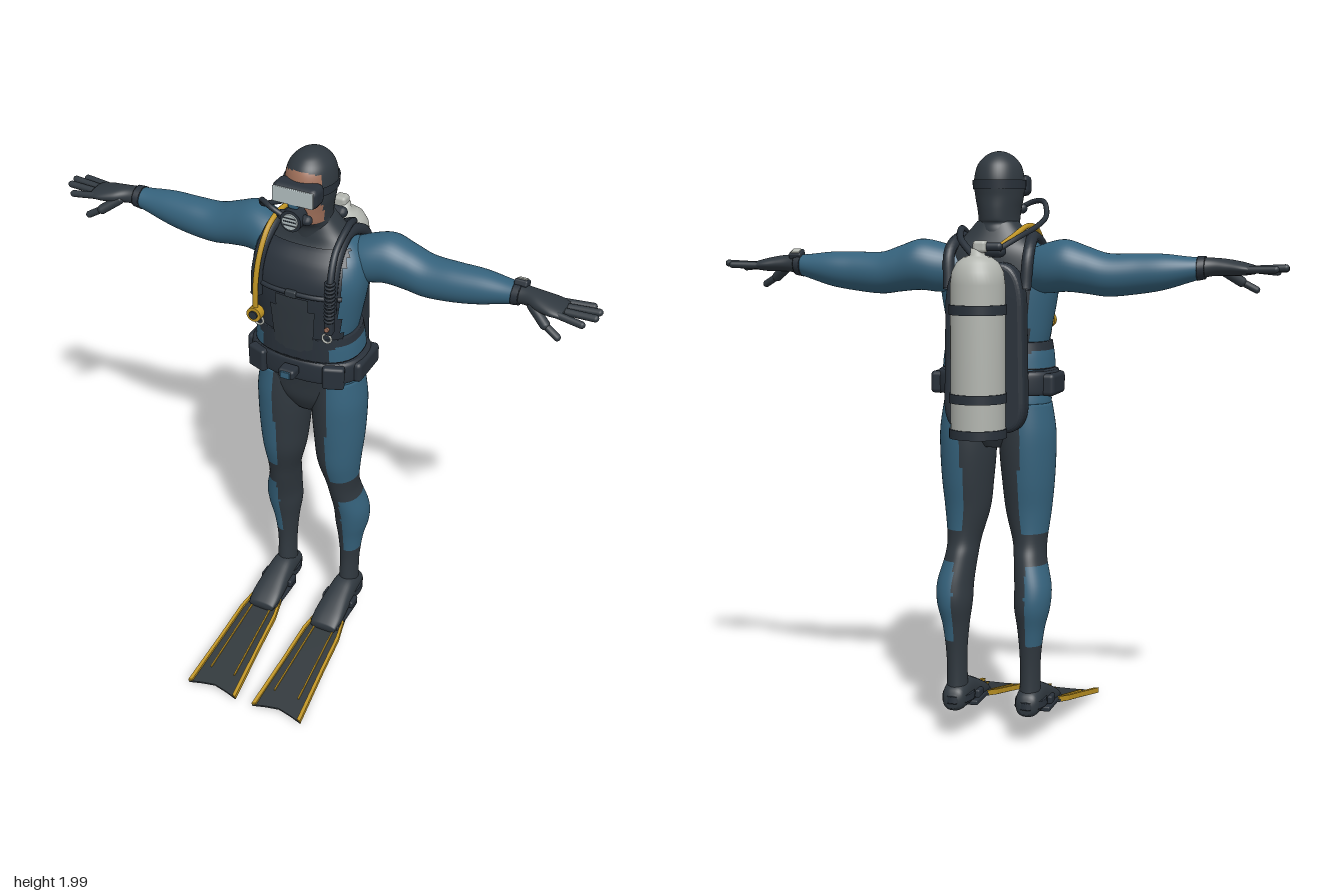
import * as THREE from 'three';
import { RoundedBoxGeometry } from 'three/addons/geometries/RoundedBoxGeometry.js';

const mat = (name, color) => {
  const m = new THREE.MeshStandardMaterial({ color, side: THREE.DoubleSide });
  m.name = name;
  return m;
};
const V = (x, y, z) => new THREE.Vector3(x, y, z);

// Smooth body from elliptical rings [along, c1, c2, r1, r2]; rule picks a material per quad (-1 leaves a hole)
function loft(rings, axis, { rule = () => 0, seg = 40, sub = 6, pow = 1, cap = true } = {}) {
  const rows = [], n = rings.length - 1;
  for (let i = 0; i <= n * sub; i++) {
    const k = Math.min(Math.floor(i / sub), n - 1), t = i / sub - k;
    const [a, b, c, d] = [Math.max(k - 1, 0), k, k + 1, Math.min(k + 2, n)].map(q => rings[q]);
    rows.push(b.map((_, q) => 0.5 * (2 * b[q] + (c[q] - a[q]) * t + (2 * a[q] - 5 * b[q] + 4 * c[q] - d[q]) * t * t
      + (3 * b[q] - a[q] - 3 * c[q] + d[q]) * t * t * t)));
  }
  const place = (l, u, v) => axis === 'x' ? [l, u, v] : axis === 'y' ? [u, l, v] : [u, v, l];
  const bend = v => Math.sign(v) * Math.abs(v) ** pow;
  const pos = [], lists = [];
  for (const r of rows) for (let j = 0; j < seg; j++) {
    const a = j / seg * Math.PI * 2;
    pos.push(...place(r[0], r[1] + r[3] * bend(Math.cos(a)), r[2] + r[4] * bend(Math.sin(a))));
  }
  const flip = (axis === 'y') !== (rings[n][0] < rings[0][0]);
  const tri = (m, a, b, c) => (lists[m] ??= []).push(a, ...(flip ? [c, b] : [b, c]));
  const mid = (...ids) => [0, 1, 2].map(q => ids.reduce((s, i) => s + pos[i * 3 + q], 0) / ids.length);
  const last = rows.length - 1;
  for (let i = 0; i < last; i++) for (let j = 0; j < seg; j++) {
    const a = i * seg + j, b = i * seg + (j + 1) % seg, c = b + seg, d = a + seg;
    const m = rule(...mid(a, b, c, d));
    if (m >= 0) { tri(m, a, b, c); tri(m, a, c, d); }
  }
  if (cap) for (const e of [0, last]) {
    const o = pos.length / 3, r = rows[e];
    pos.push(...place(r[0], r[1], r[2]));
    for (let j = 0; j < seg; j++) {
      const a = e * seg + j, b = e * seg + (j + 1) % seg, m = Math.max(0, rule(...mid(o, a, b)));
      e ? tri(m, o, a, b) : tri(m, o, b, a);
    }
  }
  const geo = new THREE.BufferGeometry(), index = [];
  lists.forEach((l, m) => { geo.addGroup(index.length, l.length, m); for (const i of l) index.push(i); });
  geo.setAttribute('position', new THREE.Float32BufferAttribute(pos, 3));
  geo.setIndex(index);
  geo.computeVertexNormals();
  return geo;
}

export function createModel() {
  const root = new THREE.Group();
  root.name = 'scubaDiver';
  const blue = mat('suitBlue', 0x35627c), dark = mat('suitDark', 0x30383f), gear = mat('gearBlack', 0x29313a);
  const tankGrey = mat('tankGrey', 0xb2b5af), yellow = mat('yellow', 0xbf9423), skin = mat('skin', 0xa0705a);
  const glass = mat('maskGlass', 0xb3bfc1), rubber = mat('finRubber', 0x30373b);

  const add = (geo, m, name, p = [0, 0, 0], r = [0, 0, 0], parent = root) => {
    const mesh = new THREE.Mesh(geo, m);
    mesh.name = name;
    mesh.position.set(...p);
    mesh.rotation.set(...r);
    parent.add(mesh);
    return mesh;
  };
  const box = (w, h, d, m, name, p, r, parent) =>
    add(new RoundedBoxGeometry(w, h, d, 2, Math.min(w, h, d) * 0.3), m, name, p, r, parent);
  const tube = (pts, r, m, name) =>
    add(new THREE.TubeGeometry(new THREE.CatmullRomCurve3(pts.map(p => V(...p))), 40, r, 10), m, name);
  const rod = (p, q, r, m, name) => {
    const a = V(...p), d = V(...q).sub(a), mesh = add(new THREE.CapsuleGeometry(r, d.length(), 5, 12), m, name);
    mesh.position.copy(a).addScaledVector(d, 0.5);
    mesh.quaternion.setFromUnitVectors(V(0, 1, 0), d.normalize());
  };

  // Torso
  const torso = [[1.02, 0, -0.12, 0.05, 0.07], [1.08, 0, -0.12, 0.13, 0.1], [1.15, 0, -0.12, 0.18, 0.112],
    [1.25, 0, -0.107, 0.172, 0.115], [1.33, 0, -0.1, 0.162, 0.115], [1.42, 0, -0.1, 0.178, 0.122],
    [1.55, 0, -0.1, 0.2, 0.127], [1.63, 0, -0.112, 0.192, 0.113], [1.68, 0, -0.128, 0.16, 0.09],
    [1.72, 0, -0.125, 0.112, 0.075], [1.77, 0, -0.12, 0.068, 0.06]];
  add(loft(torso, 'y', { pow: 0.85, seg: 56, rule: (x, y) =>
    y < 1.7 && Math.abs(x) > (y > 1.36 ? 0.125 : 0.1) ? 1 : 0 }), [dark, blue], 'torso');
  const shell = (off, name, m, rule) => add(loft(torso.map(r => [r[0], r[1], r[2], r[3] + off, r[4] + off]), 'y',
    { pow: 0.85, seg: 56, cap: false, rule }), m, name);
  shell(0.011, 'vestFront', [gear], (x, y, z) => z > -0.09 && Math.abs(x) < 0.155 && y > 1.34 && y < 1.69 ? 0 : -1);
  shell(0.018, 'vestPanel', [dark], (x, y, z) => z > -0.09 && Math.abs(x) < 0.07 && y > 1.28 && y < 1.54 ? 0 : -1);
  add(loft([[1.285, 0, -0.105, 0.19, 0.137], [1.33, 0, -0.103, 0.186, 0.135], [1.375, 0, -0.1, 0.178, 0.132]], 'y',
    { pow: 0.8, rule: (x, y) => Math.abs(x) > 0.13 && y > 1.29 && y < 1.345 ? 1 : 0 }), [gear, blue], 'cummerbund');
  add(loft([[1.2, 0, -0.11, 0.198, 0.138], [1.21, 0, -0.11, 0.206, 0.145], [1.265, 0, -0.11, 0.206, 0.145],
    [1.28, 0, -0.11, 0.195, 0.138]], 'y', { pow: 0.8 }), [gear], 'weightBelt');
  box(0.06, 0.035, 0.05, gear, 'beltBuckle', [0, 1.25, 0.065]);
  box(0.036, 0.026, 0.008, blue, 'buckleFace', [0, 1.25, 0.091]);
  tube([[-0.16, 1.54, 0.0], [-0.09, 1.545, 0.037], [0, 1.545, 0.044], [0.09, 1.545, 0.037], [0.16, 1.54, 0]], 0.008, gear, 'chestStrap');
  box(0.04, 0.025, 0.018, dark, 'chestBuckle', [0, 1.545, 0.047]);

  // Head with open-faced hood
  const head = [[1.64, 0, -0.12, 0.09, 0.075], [1.73, 0, -0.12, 0.077, 0.074], [1.762, 0, -0.108, 0.07, 0.08],
    [1.775, 0, -0.102, 0.067, 0.092], [1.81, 0, -0.101, 0.071, 0.096], [1.85, 0, -0.1, 0.079, 0.098],
    [1.9, 0, -0.102, 0.083, 0.101], [1.95, 0, -0.102, 0.073, 0.088], [1.98, 0, -0.102, 0.05, 0.062],
    [1.995, 0, -0.102, 0.025, 0.031], [2, 0, -0.102, 0.002, 0.002]];
  add(loft(head, 'y', { seg: 48, sub: 8, rule: (x, y, z) =>
    z > -0.066 && Math.abs(x) < 0.064 && y > 1.77 && y < 1.955 - x * x * 4 ? 1 : 0 }), [dark, skin], 'head');

  // Mask and mouthpiece
  box(0.158, 0.07, 0.075, gear, 'maskFrame', [0, 1.889, -0.004]);
  box(0.142, 0.054, 0.009, glass, 'maskLens', [0, 1.89, 0.033]);
  box(0.036, 0.03, 0.045, blue, 'nosePocket', [0, 1.862, 0.014]);
  add(loft([[1.875, 0, -0.101, 0.087, 0.105], [1.905, 0, -0.102, 0.088, 0.106]], 'y',
    { cap: false, rule: (x, y, z) => z < -0.03 ? 0 : -1 }), [gear], 'maskStrap');
  const disc = (r, h, m, name, p) => add(new THREE.CylinderGeometry(r, r, h, 24), m, name, p, [Math.PI / 2, 0, 0]);
  disc(0.037, 0.05, gear, 'regulator', [0, 1.812, 0.025]);
  disc(0.027, 0.009, glass, 'regulatorFace', [0, 1.812, 0.052]);
  for (const y of [-0.011, 0.002, 0.014]) box(0.044, 0.004, 0.005, gear, 'regulatorGrille', [0, 1.812 + y, 0.056]);
  rod([-0.045, 1.812, 0.02], [0.045, 1.812, 0.02], 0.017, gear, 'regulatorBody');

  for (const s of [1, -1]) {
    const side = s > 0 ? 'left' : 'right';
    // Arm and glove
    const arm = [[0.1, 1.61, -0.15, 0.06, 0.06], [0.18, 1.618, -0.165, 0.082, 0.082], [0.25, 1.627, -0.177, 0.085, 0.083],
      [0.32, 1.613, -0.178, 0.077, 0.076], [0.39, 1.598, -0.176, 0.07, 0.072], [0.48, 1.602, -0.172, 0.066, 0.066],
      [0.57, 1.609, -0.174, 0.058, 0.059], [0.66, 1.618, -0.172, 0.04, 0.044], [0.72, 1.626, -0.165, 0.03, 0.035],
      [0.77, 1.625, -0.154, 0.027, 0.047], [0.82, 1.621, -0.15, 0.022, 0.056], [0.86, 1.618, -0.15, 0.014, 0.052]];
    add(loft(arm.map(r => [r[0] * s, ...r.slice(1)]), 'x', { rule: x => Math.abs(x) > 0.685 ? 1 : 0 }), [blue, dark], side + 'Arm');
    add(loft([[0.68, 1.621, -0.17, 0.039, 0.043], [0.705, 1.624, -0.168, 0.037, 0.041]].map(r => [r[0] * s, ...r.slice(1)]), 'x'),
      [gear], side + 'GloveCuff');
    [[-0.192, 0.93, 1.621, -0.203], [-0.165, 0.958, 1.625, -0.172], [-0.137, 0.956, 1.622, -0.138],
      [-0.11, 0.925, 1.61, -0.102]].forEach(([z, x, y, tz]) => rod([0.84 * s, 1.619, z], [x * s, y, tz], 0.012, dark, side + 'Finger'));
    rod([0.755 * s, 1.615, -0.13], [0.81 * s, 1.578, -0.1], 0.017, dark, side + 'ThumbBase');
    rod([0.81 * s, 1.578, -0.1], [0.857 * s, 1.552, -0.088], 0.012, dark, side + 'Thumb');

    // Leg with dark inner side, knee and ankle
    const leg = [[1.17, 0.1, -0.12, 0.085, 0.105], [1.08, 0.105, -0.12, 0.094, 0.11], [1, 0.105, -0.12, 0.095, 0.108],
      [0.9, 0.107, -0.119, 0.088, 0.1], [0.8, 0.108, -0.118, 0.077, 0.088], [0.7, 0.116, -0.131, 0.058, 0.073],
      [0.64, 0.122, -0.147, 0.055, 0.075], [0.55, 0.137, -0.17, 0.062, 0.077], [0.48, 0.137, -0.18, 0.06, 0.073],
      [0.4, 0.133, -0.18, 0.045, 0.056], [0.3, 0.131, -0.18, 0.035, 0.044], [0.2, 0.13, -0.177, 0.035, 0.045],
      [0.12, 0.13, -0.177, 0.038, 0.052]];
    add(loft(leg.map(r => [r[0], r[1] * s, ...r.slice(2)]), 'y', { seg: 48, rule: (x, y) =>
      y > 0.725 ? (Math.abs(x) > 0.1 ? 1 : 0) : y > 0.355 && y < 0.62 && Math.abs(x) > 0.126 ? 1 : 0 }), [dark, blue], side + 'Leg');

    // Boot and fin straps
    const boot = [[-0.24, 0.13, 0.14, 0.02, 0.022], [-0.22, 0.13, 0.148, 0.04, 0.042], [-0.15, 0.13, 0.157, 0.046, 0.054],
      [-0.08, 0.13, 0.147, 0.051, 0.044], [0, 0.13, 0.128, 0.056, 0.027], [0.05, 0.13, 0.112, 0.05, 0.014]];
    add(loft(boot.map(r => [r[0], r[1] * s, ...r.slice(2)]), 'z', { pow: 0.8 }), [dark], side + 'Boot');
    add(loft([[0.135, 0.13 * s, -0.165, 0.054, 0.08], [0.16, 0.13 * s, -0.165, 0.052, 0.078]], 'y'), [gear], side + 'HeelStrap');
    for (const k of [-1, 1]) box(0.018, 0.028, 0.05, gear, side + 'StrapBuckle', [0.13 * s + k * 0.054, 0.14, -0.1]);
    box(0.115, 0.018, 0.17, gear, side + 'FootPocket', [0.13 * s, 0.11, -0.05]);

    // Fin blade with yellow rails and ribs
    const fin = new THREE.Group();
    fin.name = side + 'Fin';
    fin.position.set(0.132 * s, 0.114, -0.03);
    fin.rotation.x = Math.PI / 2 + 0.208;
    root.add(fin);
    const slab = (pts, depth, m, name, z) => add(new THREE.ExtrudeGeometry(
      new THREE.Shape(pts.map(p => new THREE.Vector2(...p))), { depth, bevelEnabled: false }), m, name, [0, 0, z], [0, 0, 0], fin);
    slab([[-0.055, 0], [0.055, 0], [0.072, 0.1], [0.08, 0.25], [0.097, 0.475], [0.05, 0.462], [0, 0.452], [-0.05, 0.462],
      [-0.097, 0.475], [-0.08, 0.25], [-0.072, 0.1]], 0.009, rubber, 'finBlade', 0);
    for (const k of [-1, 1]) {
      slab([[0.058, 0.02], [0.074, 0.1], [0.082, 0.25], [0.098, 0.475], [0.084, 0.47], [0.07, 0.25], [0.062, 0.1], [0.05, 0.02]]
        .map(([x, y]) => [x * k, y]), 0.018, yellow, 'finRail', -0.01);
      slab([[0.034, 0.06], [0.039, 0.06], [0.051, 0.39], [0.046, 0.39]].map(([x, y]) => [x * k, y]), 0.01, yellow, 'finRib', -0.006);
    }

    // Harness strap, belt pouch and ring
    tube([[0.135 * s, 1.5, 0.03], [0.135 * s, 1.6, 0.018], [0.13 * s, 1.68, -0.03], [0.125 * s, 1.718, -0.12],
      [0.135 * s, 1.67, -0.225], [0.13 * s, 1.55, -0.25]], 0.02, gear, side + 'ShoulderStrap');
    box(0.05, 0.075, 0.16, gear, side + 'BeltPouch', [0.19 * s, 1.235, -0.12]);
    box(0.075, 0.085, 0.035, gear, side + 'FrontPouch', [0.14 * s, 1.235, 0.012], [0, 0.35 * s, 0]);
    add(new THREE.TorusGeometry(0.016, 0.004, 6, 16), tankGrey, side + 'HarnessRing', [0.125 * s, 1.4, 0.035]);
  }

  // Buoyancy wing behind the back
  const wing = new THREE.Shape();
  wing.moveTo(-0.07, 1.1).lineTo(0.07, 1.1).quadraticCurveTo(0.12, 1.1, 0.12, 1.18).lineTo(0.115, 1.5)
    .quadraticCurveTo(0.11, 1.62, 0.05, 1.62).lineTo(-0.05, 1.62).quadraticCurveTo(-0.11, 1.62, -0.115, 1.5)
    .lineTo(-0.12, 1.18).quadraticCurveTo(-0.12, 1.1, -0.07, 1.1);
  add(new THREE.ExtrudeGeometry(wing, { depth: 0.04, bevelThickness: 0.018, bevelSize: 0.018, bevelSegments: 4 }),
    gear, 'buoyancyWing', [0, 0, -0.275]);

  // Air tank, bands and valve
  const T = -0.35;
  add(new THREE.LatheGeometry([[0, 1.072], [0.06, 1.072], [0.084, 1.085], [0.089, 1.1], [0.089, 1.57], [0.084, 1.61],
    [0.068, 1.64], [0.045, 1.657], [0.024, 1.663], [0.022, 1.685], [0, 1.685]].map(p => new THREE.Vector2(...p)), 40),
    tankGrey, 'airTank', [0, 0, T]);
  for (const [y, h] of [[1.49, 0.032], [1.205, 0.03], [1.09, 0.03]])
    add(new THREE.CylinderGeometry(0.094, 0.094, h, 40), gear, 'tankBand', [0, y, T]);
  box(0.045, 0.04, 0.045, tankGrey, 'tankValve', [-0.01, 1.69, T]);
  rod([-0.07, 1.69, T], [-0.03, 1.69, T], 0.014, gear, 'valveKnob');
  rod([-0.06, 1.675, -0.3], [0.015, 1.675, -0.3], 0.02, gear, 'firstStage');

  // Hoses
  tube([[-0.06, 1.68, -0.32], [-0.11, 1.72, -0.25], [-0.142, 1.755, -0.14], [-0.148, 1.79, -0.05], [-0.125, 1.835, 0.0],
    [-0.08, 1.835, 0.03], [-0.03, 1.812, 0.03]], 0.009, gear, 'regulatorHose');
  tube([[-0.05, 1.68, -0.32], [-0.085, 1.72, -0.24], [-0.108, 1.755, -0.13], [-0.115, 1.735, -0.03], [-0.122, 1.65, 0.03],
    [-0.127, 1.55, 0.052], [-0.13, 1.45, 0.05]], 0.009, yellow, 'spareHose');
  disc(0.026, 0.03, yellow, 'spareRegulator', [-0.13, 1.435, 0.05]);
  disc(0.015, 0.009, gear, 'spareRegulatorFace', [-0.13, 1.435, 0.066]);
  tube([[0.04, 1.66, -0.27], [0.1, 1.71, -0.21], [0.125, 1.745, -0.12], [0.13, 1.7, -0.01], [0.138, 1.6, 0.045],
    [0.138, 1.46, 0.045]], 0.012, gear, 'inflatorHose');
  for (let i = 0; i < 11; i++)
    add(new THREE.TorusGeometry(0.014, 0.005, 6, 14), gear, 'hoseRidge', [0.138, 1.48 + i * 0.014, 0.045], [Math.PI / 2, 0, 0]);
  box(0.03, 0.055, 0.03, gear, 'inflatorGrip', [0.138, 1.455, 0.045]);
  disc(0.008, 0.012, skin, 'inflatorButton', [0.138, 1.455, 0.062]);

  // Wrist computer
  box(0.045, 0.022, 0.045, gear, 'wristComputer', [0.7, 1.658, -0.18], [-0.4, 0, 0]);
  box(0.03, 0.006, 0.03, tankGrey, 'wristDisplay', [0.7, 1.668, -0.185], [-0.4, 0, 0]);
  return root;
}
